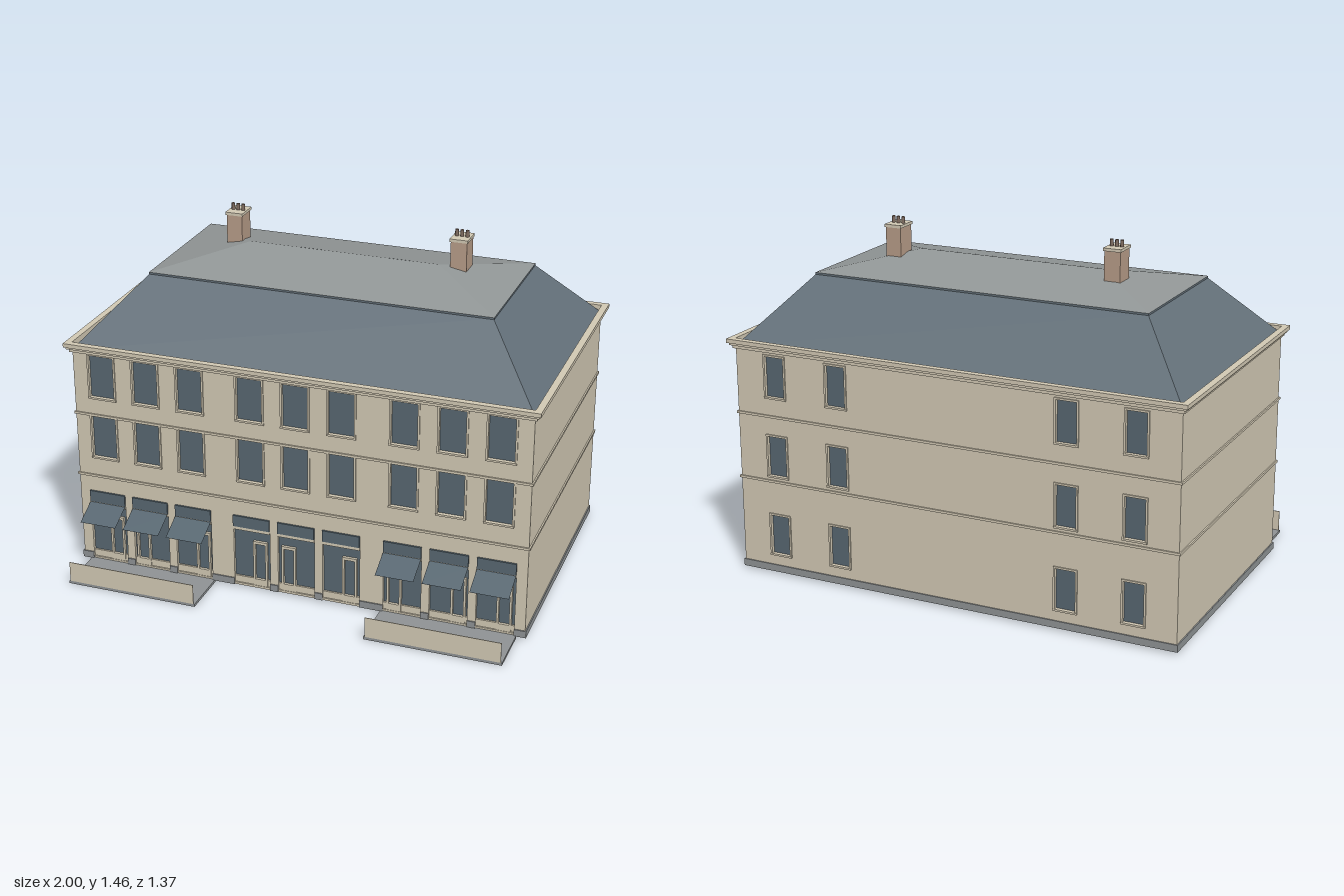
import * as THREE from 'three';

const mat = (name, color, side = THREE.FrontSide) => {
  const m = new THREE.MeshStandardMaterial({ color, side });
  m.name = name;
  return m;
};

export function createModel() {
  const cream = mat('cream stone', 0xd2c9b4);
  const slate = mat('roof slate', 0x64717a, THREE.DoubleSide);
  const lead = mat('upper roof grey', 0x929797, THREE.DoubleSide);
  const glass = mat('dark glass', 0x586771, THREE.DoubleSide);
  const grey = mat('grey paving', 0x8f9395);
  const brick = mat('chimney brick', 0xb79c88);
  const pot = mat('chimney pot', 0x7d6a5e);

  const model = new THREE.Group();
  model.name = 'townhouse';
  const W = 0.97, ZF = 0.47, ZB = -0.66, ZC = (ZF + ZB) / 2, HD = (ZF - ZB) / 2;
  const Y0 = 0.01, Y1 = 0.97, T = 0.02;

  const add = (name, geometry, material, parent = model) => {
    const mesh = new THREE.Mesh(geometry, material);
    mesh.name = name;
    parent.add(mesh);
    return mesh;
  };
  // Box given by its limits
  const box = (name, m, x0, x1, y0, y1, z0, z1, parent) =>
    add(name, new THREE.BoxGeometry(x1 - x0, y1 - y0, z1 - z0)
      .translate((x0 + x1) / 2, (y0 + y1) / 2, (z0 + z1) / 2), m, parent);

  const path = (P, x0, x1, y0, y1) => {
    const p = new P();
    p.moveTo(x0, y0); p.lineTo(x1, y0); p.lineTo(x1, y1); p.lineTo(x0, y1);
    p.closePath();
    return p;
  };
  // Upright panel with rectangular openings
  const panel = (outer, holes, depth, z) => {
    const s = path(THREE.Shape, ...outer);
    holes.forEach(h => s.holes.push(path(THREE.Path, ...h)));
    return new THREE.ExtrudeGeometry(s, { depth, bevelEnabled: false }).translate(0, 0, z);
  };
  // Horizontal rectangular ring around the house; "out" is the distance beyond the wall face
  const ring = (name, m, out, y0, y1, inset) => {
    const g = panel([-W - out, W + out, -HD - out, HD + out],
      [[-W + inset, W - inset, -HD + inset, HD - inset]], y1 - y0, 0);
    return add(name, g.rotateX(-Math.PI / 2).translate(0, y0, ZC), m);
  };

  // Openings
  const columns = [-0.845, -0.65, -0.455, -0.195, 0, 0.195, 0.455, 0.65, 0.845];
  const doorShift = [0.035, -0.04, 0.04, 0.035, -0.035, 0.035, -0.035, 0.04, 0.035];
  const frontHoles = [], backHoles = [], shopHoles = [];
  for (const x of columns) {
    for (const y of [0.5, 0.772]) frontHoles.push([x - 0.054, x + 0.054, y, y + 0.185]);
    shopHoles.push([x - 0.08, x + 0.08, 0.02, 0.285]);
  }
  for (const x of [-0.79, -0.505, 0.505, 0.79])
    for (const y of [0.09, 0.435, 0.775]) backHoles.push([x - 0.043, x + 0.043, y, y + 0.17]);

  // Walls, open underneath
  add('frontWall', panel([-W, W, Y0, Y1], [...frontHoles, ...shopHoles], T, ZF - T), cream);
  add('backWall', panel([-W, W, Y0, Y1], backHoles, T, ZB), cream);
  for (const s of [-1, 1]) {
    const a = s * W, b = s * (W - T);
    box('sideWall', cream, Math.min(a, b), Math.max(a, b), Y0, Y1, ZB + T, ZF - T);
  }

  // Plinth: sides, back, and the piers between the shopfronts
  for (const s of [-1, 1])
    box('plinthSide', grey, s * (W + 0.0025) - 0.0025, s * (W + 0.0025) + 0.0025, Y0, 0.04, ZB - 0.005, ZF + 0.005);
  box('plinthBack', grey, -W, W, Y0, 0.04, ZB - 0.005, ZB);
  const edges = [-W, ...columns.flatMap(x => [x - 0.08, x + 0.08]), W];
  for (let i = 0; i < edges.length; i += 2)
    box('plinthPier', grey, edges[i], edges[i + 1], Y0, 0.04, ZF, ZF + 0.005);

  // String courses and stepped cornice
  for (const y of [0.405, 0.686]) ring('stringCourse', cream, 0.006, y, y + 0.01, 0);
  ring('corniceLower', cream, 0.01, 0.964, 0.978, 0.01);
  ring('corniceMiddle', cream, 0.02, 0.978, 0.99, 0);
  ring('corniceTop', cream, 0.028, 0.988, 1.005, 0);

  // Sash windows: recessed glass, slim surround, sill
  const windowUnit = ([x0, x1, y0, y1], zFace, dir) => {
    const g = new THREE.Group();
    g.name = 'window';
    model.add(g);
    const zp = zFace - dir * 0.012;
    box('windowPane', glass, x0, x1, y0, y1, zp - 0.002, zp + 0.002, g);
    const f = 0.008, zs = dir > 0 ? zFace : zFace - 0.005;
    add('windowSurround', panel([x0 - f, x1 + f, y0 - f, y1 + f], [[x0, x1, y0, y1]], 0.005, zs), cream, g);
    box('windowSill', cream, x0 - f, x1 + f, y0 - 0.008, y0, zFace - 0.007, zFace + 0.007, g);
  };
  frontHoles.forEach(h => windowUnit(h, ZF, 1));
  backHoles.forEach(h => windowUnit(h, ZB, -1));

  // Shopfronts with door, fascia board and, on the outer bays, awnings
  columns.forEach((x, i) => {
    const g = new THREE.Group();
    g.name = 'shopfront';
    model.add(g);
    const x0 = x - 0.08, x1 = x + 0.08, d = x + doorShift[i];
    box('shopGlass', glass, x0, x1, 0.02, 0.285, ZF - 0.018, ZF - 0.014, g);
    box('shopStallRiser', cream, x0, x1, 0.02, 0.05, ZF - 0.014, ZF - 0.006, g);
    box('shopHead', cream, x0, x1, 0.272, 0.287, ZF - 0.014, ZF + 0.004, g);
    add('doorFrame', panel([d - 0.031, d + 0.031, 0.02, 0.226],
      [[d - 0.022, d + 0.022, 0.05, 0.214]], 0.012, ZF - 0.014), cream, g);
    box('fasciaBoard', glass, x0, x1, 0.287, 0.337, ZF, ZF + 0.008, g);
    if (Math.abs(x) > 0.3) {
      const rise = 0.05, run = 0.1;
      const awning = add('awning', new THREE.PlaneGeometry(0.16, Math.hypot(rise, run)), glass, g);
      awning.rotation.x = -Math.atan2(run, rise);
      awning.position.set(x, 0.26, ZF + 0.007 + run / 2);
    }
  });

  // Terraces with front screens
  for (const s of [-1, 1]) {
    const c = s * 0.65;
    box('terraceSlab', grey, c - 0.285, c + 0.285, 0, 0.012, ZF, 0.685);
    box('terraceScreen', cream, c - 0.28, c + 0.28, 0.012, 0.1, 0.682, 0.685);
  }

  // Sloping roof skirt between two rectangles [halfX, zBack, zFront, y]
  const skirt = (name, m, lo, hi) => {
    const corners = ([x, zb, zf, y]) => [[-x, y, zf], [x, y, zf], [x, y, zb], [-x, y, zb]];
    const a = corners(lo), b = corners(hi), pos = [];
    for (let i = 0; i < 4; i++) {
      const j = (i + 1) % 4;
      pos.push(...a[i], ...a[j], ...b[j], ...a[i], ...b[j], ...b[i]);
    }
    const g = new THREE.BufferGeometry();
    g.setAttribute('position', new THREE.Float32BufferAttribute(pos, 3));
    g.computeVertexNormals();
    return add(name, g, m);
  };
  skirt('lowerRoof', slate, [0.972, -0.662, 0.472, 0.972], [0.727, -0.415, 0.217, 1.245]);
  skirt('roofLip', slate, [0.731, -0.419, 0.221, 1.242], [0.731, -0.419, 0.221, 1.25]);
  skirt('upperRoof', lead, [0.731, -0.419, 0.221, 1.25], [0.41, -0.1001, -0.0999, 1.316]);

  // Chimneys with cap and three pots
  for (const s of [-1, 1]) {
    const c = s * 0.487, g = new THREE.Group();
    g.name = 'chimney';
    model.add(g);
    box('chimneyStack', brick, c - 0.034, c + 0.034, 1.25, 1.418, -0.2, -0.11, g);
    box('chimneyCap', cream, c - 0.038, c + 0.038, 1.416, 1.428, -0.205, -0.105, g);
    for (const dx of [-0.022, 0, 0.022])
      add('chimneyPot', new THREE.CylinderGeometry(0.007, 0.008, 0.028, 10)
        .translate(c + dx, 1.441, -0.155), pot, g);
  }
  return model;
}
